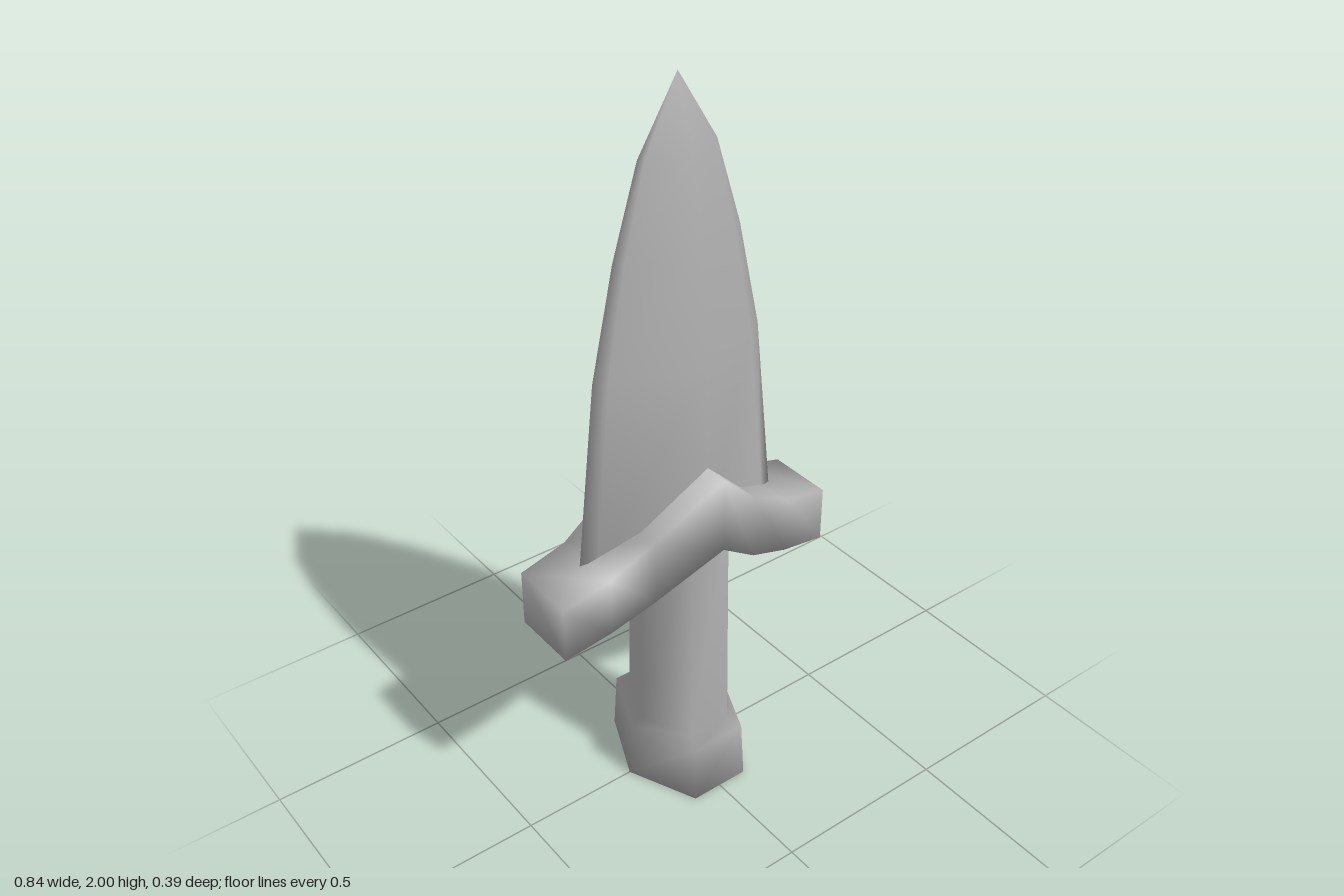
import * as THREE from 'three';
import { mergeVertices } from 'three/addons/utils/BufferGeometryUtils.js';

// Skins a list of equal-length rings, capped at both ends, with smooth shared normals.
// Each ring runs counter-clockwise when seen from the far end of the loft.
function loft(rings) {
  const n = rings[0].length;
  const index = [];
  for (let r = 0; r < rings.length - 1; r++) {
    for (let i = 0; i < n; i++) {
      const a = r * n + i, b = r * n + (i + 1) % n;
      index.push(a, b, b + n, a, b + n, a + n);
    }
  }
  const last = (rings.length - 1) * n;
  for (let i = 1; i < n - 1; i++) {
    index.push(0, i + 1, i);
    index.push(last, last + i, last + i + 1);
  }
  const geometry = new THREE.BufferGeometry();
  geometry.setAttribute('position', new THREE.Float32BufferAttribute(rings.flat(2), 3));
  geometry.setIndex(index);
  const merged = mergeVertices(geometry);
  merged.computeVertexNormals();
  return merged;
}

// Diamond section with extra points beside each cutting edge to keep the bevel crisp.
function diamond([y, w, d]) {
  const k = 0.86, e = 1 - k;
  return [
    [1, 0], [k, -e], [0, -1], [-k, -e],
    [-1, 0], [-k, e], [0, 1], [k, e],
  ].map(([x, z]) => [x * w, y, z * d]);
}

// Six-sided section with points on the left and right.
function hexagon([y, w, d]) {
  return [
    [1, 0], [0.5, -1], [-0.5, -1], [-1, 0], [-0.5, 1], [0.5, 1],
  ].map(([x, z]) => [x * w, y, z * d]);
}

// Rectangular section across the guard.
function guardSection([x, bottom, top, d]) {
  return [[x, bottom, d], [x, bottom, -d], [x, top, -d], [x, top, d]];
}

export function createModel() {
  const group = new THREE.Group();
  const steel = new THREE.MeshStandardMaterial({ color: 0xb0b0b0 });
  steel.name = 'grey steel';

  const add = (name, geometry) => {
    const mesh = new THREE.Mesh(geometry, steel);
    mesh.name = name;
    group.add(mesh);
  };

  // Leaf-shaped blade: height, half width, half depth
  add('blade', loft([
    [0.78, 0.308, 0.13],
    [1.3, 0.25, 0.113],
    [1.59, 0.185, 0.088],
    [1.82, 0.112, 0.059],
    [2.0, 0, 0],
  ].map(diamond)));

  // Grip flaring into the pommel
  add('gripAndPommel', loft([
    [0, 0.17, 0.193],
    [0.17, 0.16, 0.184],
    [0.187, 0.125, 0.143],
    [0.84, 0.118, 0.135],
  ].map(hexagon)));

  // Peaked crossguard: x, bottom, top, half depth, mirrored about the centre
  const half = [
    [0.16, 0.685, 0.87, 0.118],
    [0.285, 0.635, 0.8, 0.1],
    [0.42, 0.612, 0.77, 0.094],
  ];
  const mirrored = half.map(([x, ...rest]) => [-x, ...rest]).reverse();
  add('crossguard', loft(
    [...mirrored, [0, 0.82, 1.03, 0.19], ...half].map(guardSection)));

  return group;
}
